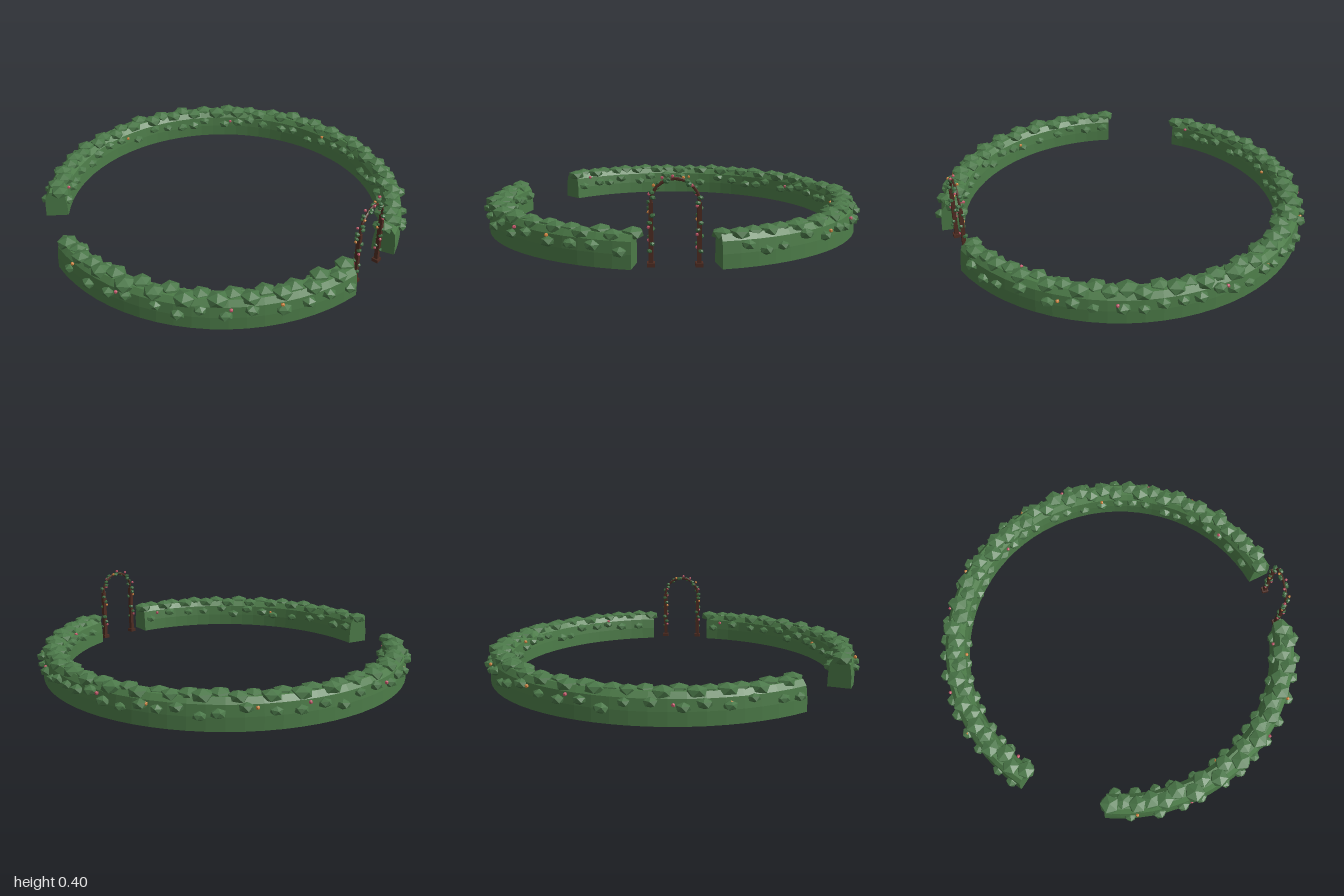
import * as THREE from 'three';
import { mergeGeometries } from 'three/addons/utils/BufferGeometryUtils.js';

const RAD = Math.PI / 180;
const RING = 0.908;           // centreline radius of the hedge

function material(name, color, extra = {}) {
  const m = new THREE.MeshStandardMaterial({ color, flatShading: true, ...extra });
  m.name = name;
  return m;
}

function seeded(seed) {
  return () => {
    seed = (seed * 16807) % 2147483647;
    return seed / 2147483647;
  };
}

// Faceted clump with a vertex on top, flattened in y
function clump(radius, flat, x, y, z, yaw, tilt = 0) {
  const g = new THREE.IcosahedronGeometry(radius, 0);
  g.rotateZ(-0.5536);
  g.scale(1, flat, 1);
  g.rotateX(tilt);
  g.rotateY(yaw);
  g.translate(x, y, z);
  return g;
}

export function createModel() {
  const rand = seeded(4711);
  const span = (a, b) => a + (b - a) * rand();
  const mats = {
    hedge: material('hedge green', 0x4c7b48, { side: THREE.DoubleSide }),
    foliage: material('foliage green', 0x4a7748),
    leaf: material('vine green', 0x3d6b40),
    wood: material('dark wood', 0x4e2c22),
    pink: material('pink blossom', 0xc2566a),
    orange: material('orange blossom', 0xcf8440),
  };
  const model = new THREE.Group();
  model.name = 'gardenHedgeRing';
  const add = (parent, name, geometry, mat) => {
    const mesh = new THREE.Mesh(geometry, mat);
    mesh.name = name;
    parent.add(mesh);
    return mesh;
  };

  // Hedge cross-section, open underneath: offset from the centreline, height
  const section = [[0.06, 0], [0.058, 0.065], [0.051, 0.12], [0.03, 0.147],
    [-0.03, 0.147], [-0.051, 0.12], [-0.058, 0.065], [-0.06, 0]]
    .map(([r, y]) => new THREE.Vector2(RING + r, y));

  function hedge(name, from, to) {
    const group = new THREE.Group();
    group.name = name;
    model.add(group);

    // Curved body and its two end caps
    const body = new THREE.LatheGeometry(section, Math.round((to - from) / 5),
      (90 - to) * RAD, (to - from) * RAD);
    add(group, 'hedgeBody', body, mats.hedge);
    for (const a of [from, to]) {
      const cap = new THREE.ShapeGeometry(new THREE.Shape(section));
      cap.rotateY(-a * RAD);
      add(group, 'hedgeEnd', cap, mats.hedge);
    }

    const at = (deg, r) => [r * Math.cos(deg * RAD), r * Math.sin(deg * RAD)];

    // Clumps zigzagging along the top, one at each end
    const top = [];
    const count = Math.round((to - from) / 4.6);
    for (let i = 0; i <= count; i++) {
      const a = from + 1 + (to - from - 2) * i / count + span(-0.4, 0.4);
      const [x, z] = at(a, RING + (i % 2 ? 1 : -1) * span(0.004, 0.026));
      top.push(clump(span(0.047, 0.058), 0.58, x, span(0.137, 0.144), z, span(0, 6.28)));
    }
    add(group, 'topFoliage', mergeGeometries(top), mats.foliage);

    // Smaller clumps bulging from the outer and inner walls
    const walls = [];
    for (const s of [1, -1]) {
      for (let a = from + 3; a < to - 1; a += span(4.5, 9)) {
        const [x, z] = at(a, RING + s * 0.056);
        walls.push(clump(span(0.031, 0.039), 0.65, x, span(0.065, 0.112), z, span(0, 6.28), span(-0.2, 0.2)));
      }
    }
    add(group, 'wallFoliage', mergeGeometries(walls), mats.foliage);

    // Sparse blossoms on the walls
    const blossoms = { pink: [], orange: [] };
    let n = 0;
    for (let a = from + 6; a < to - 3; a += span(12, 20)) {
      const [x, z] = at(a, RING + (n % 3 ? 1 : -1) * 0.06);
      blossoms[n++ % 2 ? 'orange' : 'pink'].push(clump(0.01, 1, x, span(0.085, 0.13), z, 0));
    }
    for (const c in blossoms) add(group, c + 'Blossoms', mergeGeometries(blossoms[c]), mats[c]);
  }

  hedge('frontHedge', 50.8, 149);
  hedge('backHedge', 177, 387.5);

  // Garden arch standing in the narrow gap, its opening facing outward
  const arch = new THREE.Group();
  arch.name = 'gardenArch';
  arch.position.set(0.69, 0, 0.57);
  arch.rotation.y = 49 * RAD;
  model.add(arch);

  const HALF = 0.104, SPRING = 0.28;
  for (const s of [-1, 1]) {
    const post = add(arch, 'archPost', new THREE.BoxGeometry(0.02, SPRING, 0.02), mats.wood);
    post.position.set(s * HALF, SPRING / 2, 0);
    const foot = add(arch, 'archFoot', new THREE.BoxGeometry(0.034, 0.018, 0.034), mats.wood);
    foot.position.set(s * HALF, 0.009, 0);
  }
  const hoop = add(arch, 'archHoop', new THREE.TorusGeometry(HALF, 0.007, 6, 16, Math.PI), mats.wood);
  hoop.position.y = SPRING;

  // Vine leaves and blossoms climbing alternate sides of posts and hoop
  const vine = { leaf: [], pink: [], orange: [] };
  const grow = (x, y, i) => {
    const dx = (i % 2 ? 1 : -1) * 0.006, dz = i % 4 < 2 ? 0.008 : -0.008;
    vine.leaf.push(clump(span(0.012, 0.016), 0.75, x + dx, y, dz, span(0, 6.28), span(-0.5, 0.5)));
    if (i % 2) {
      vine[i % 6 === 5 ? 'orange' : 'pink'].push(clump(0.008, 1, x - dx * 1.8, y + 0.012, -dz * 1.4, 0));
    }
  };
  for (const s of [-1, 1]) {
    for (let i = 0; i < 7; i++) grow(s * HALF, 0.07 + i * 0.031, i + (s > 0 ? 1 : 0));
  }
  for (let i = 0; i <= 14; i++) {
    const t = i / 14 * Math.PI;
    grow(HALF * Math.cos(t), SPRING + HALF * Math.sin(t), i);
  }
  add(arch, 'vineLeaves', mergeGeometries(vine.leaf), mats.leaf);
  add(arch, 'pinkVineBlossoms', mergeGeometries(vine.pink), mats.pink);
  add(arch, 'orangeVineBlossoms', mergeGeometries(vine.orange), mats.orange);

  return model;
}
